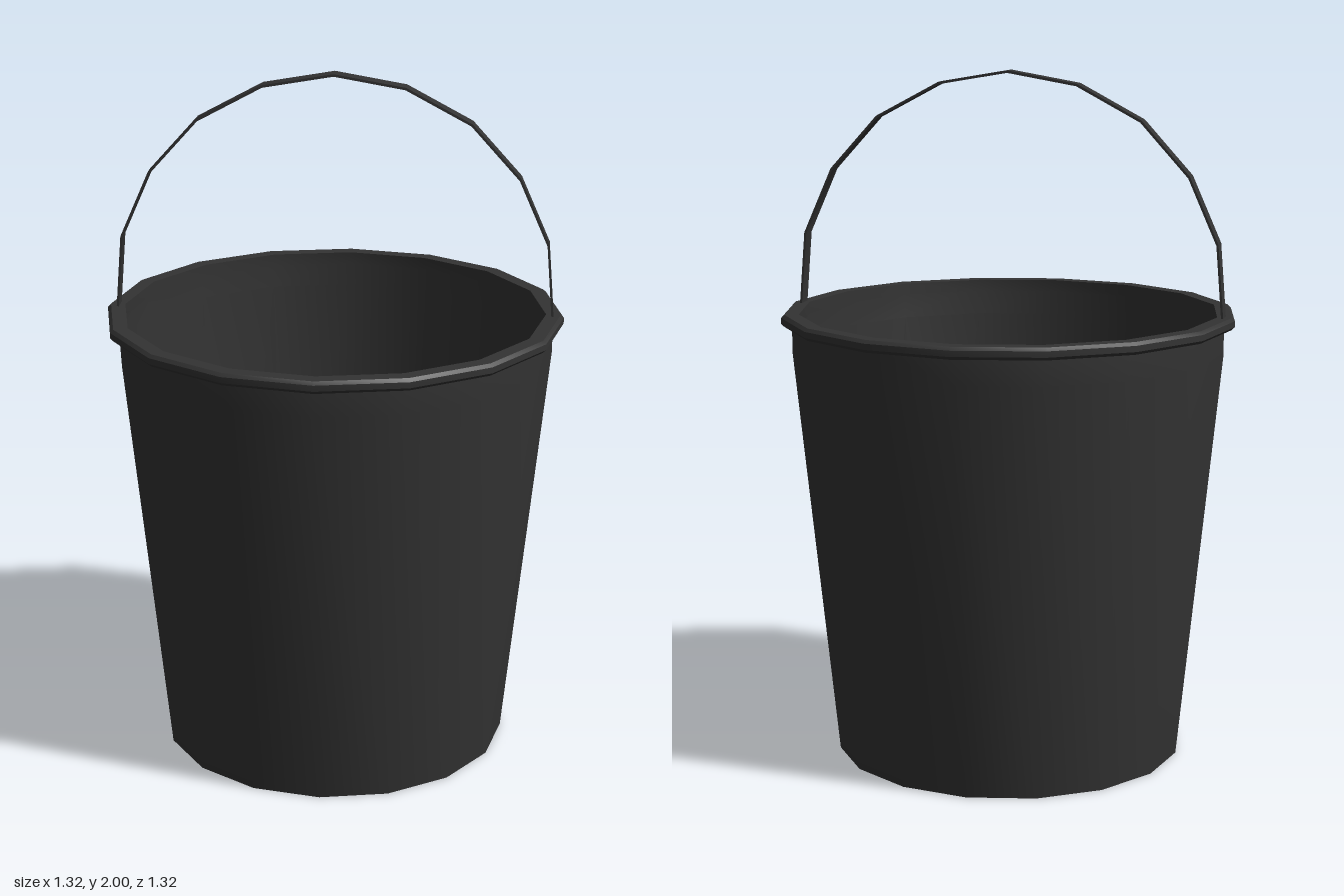
import * as THREE from 'three';
import { toCreasedNormals } from 'three/addons/utils/BufferGeometryUtils.js';

const SIDES = 16;
const material = new THREE.MeshStandardMaterial({ color: 0x333333, side: THREE.DoubleSide });

// Revolve a [radius, height] profile, smooth around and sharp at the profile corners
function turned(name, profile) {
  const points = profile.map(([r, y]) => new THREE.Vector2(r, y));
  const mesh = new THREE.Mesh(toCreasedNormals(new THREE.LatheGeometry(points, SIDES), 0.5), material);
  mesh.name = name;
  return mesh;
}

export function createModel() {
  const bucket = new THREE.Group();
  bucket.name = 'bucket';

  // Tapered thin wall with a straight collar under the rim
  bucket.add(turned('wall', [[0.508, 0], [0.63, 1.2], [0.63, 1.29]]));

  // Floor disc
  const floor = new THREE.Mesh(new THREE.CircleGeometry(0.508, SIDES).rotateX(-Math.PI / 2), material);
  floor.name = 'floor';
  bucket.add(floor);

  // Rolled rim
  bucket.add(turned('rim', [
    [0.61, 1.275], [0.652, 1.275], [0.661, 1.284], [0.661, 1.301],
    [0.652, 1.31], [0.61, 1.31], [0.61, 1.275],
  ]));

  // Flat strap handle: half of the arch, mirrored, then given a small thickness
  const half = [[0.631, 1.29], [0.631, 1.31], [0.614, 1.52], [0.53, 1.71], [0.39, 1.865], [0.203, 1.965]];
  const arch = [...half, [0, 2], ...half.slice().reverse().map(([x, y]) => [-x, y])];
  const outer = arch.map(([x, y]) => new THREE.Vector2(x, y));
  const inner = arch.map(([x, y]) => new THREE.Vector2(x * 0.99, 1.29 + (y - 1.29) * 0.99)).reverse();
  const strap = new THREE.ExtrudeGeometry(new THREE.Shape([...outer, ...inner]), { depth: 0.05, bevelEnabled: false });
  strap.translate(0, 0, -0.025);
  const handle = new THREE.Mesh(toCreasedNormals(strap, 0.5), material);
  handle.name = 'handle';
  bucket.add(handle);

  return bucket;
}
